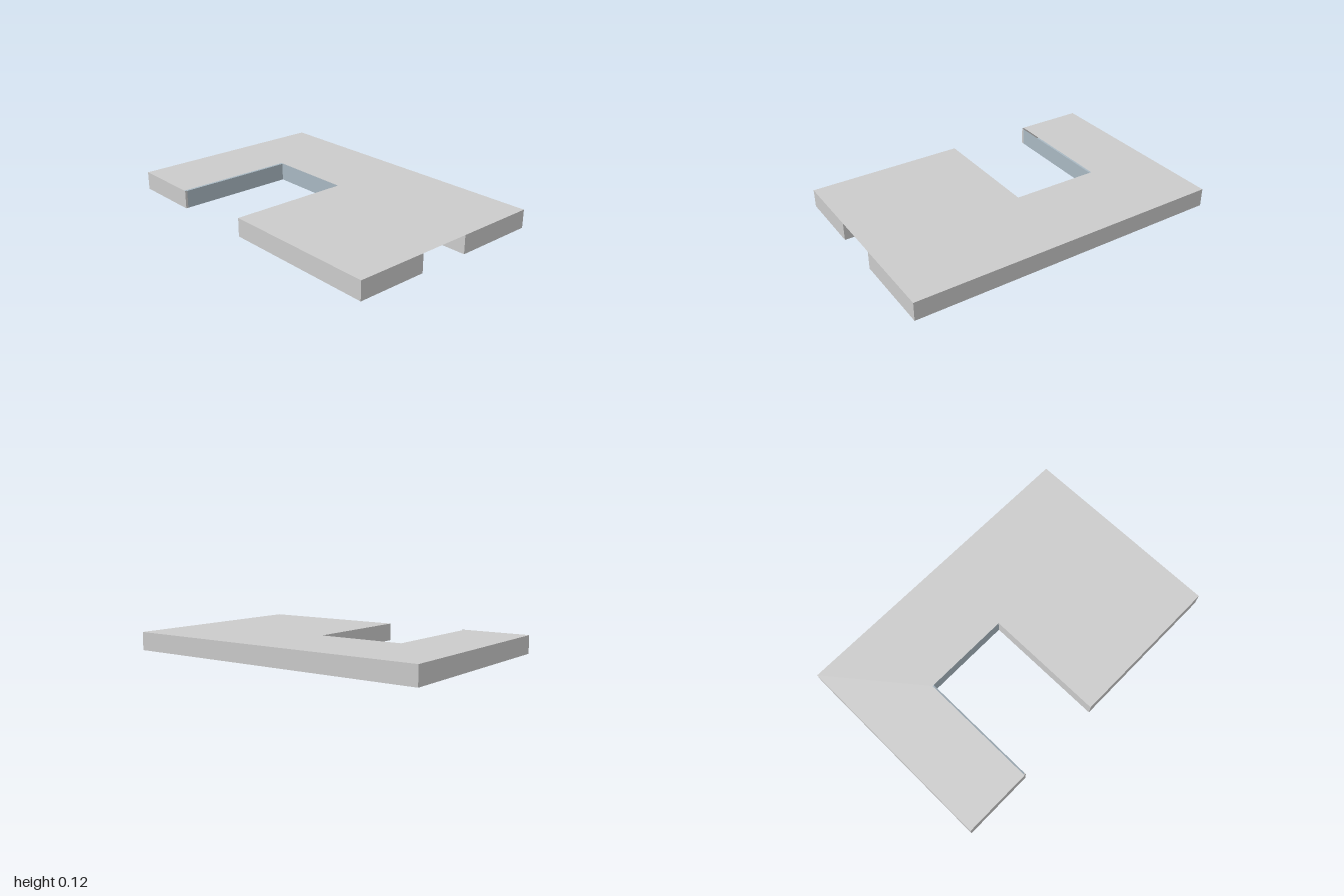
import * as THREE from 'three';

const H = 0.115;
const grey = new THREE.MeshStandardMaterial({ color: 0xcccccc, side: THREE.DoubleSide });
const blue = new THREE.MeshStandardMaterial({ color: 0xa9b8c2, side: THREE.DoubleSide });
const blueInside = new THREE.MeshStandardMaterial({ color: 0xa9b8c2, side: THREE.BackSide });

// Plan outlines as [x, z] corners
const rect = (x0, z0, x1, z1) => [[x0, z0], [x1, z0], [x1, z1], [x0, z1]];
const courtyard = (backZ) => [[-0.655, 0], [0.11, 0], [0.11, backZ], [-0.655, backZ]];
const outer = [[-0.655, -1], [0.655, -1], [0.655, 1]];
const porch = [[0.125, 1], [0.125, 0.65], [-0.21, 0.65], [-0.21, 1]];

// Recesses seen from underneath
const pits = [
  rect(0.11, 0.43, 0.33, 0.52),
  rect(-0.29, 0.79, -0.235, 0.92),
  rect(-0.53, 0.75, -0.39, 0.84),
  rect(-0.635, 0.93, -0.24, 0.985),
];
const opening = rect(-0.645, 0.01, -0.19, 0.3);

export function createModel() {
  const model = new THREE.Group();
  const add = (name, geometry, material) => {
    const mesh = new THREE.Mesh(geometry, material);
    mesh.name = name;
    model.add(mesh);
    return mesh;
  };

  const toPath = (points) => points.map(([x, z]) => new THREE.Vector2(x, -z));
  const slab = (name, points, holes, y, material) => {
    const shape = new THREE.Shape(toPath(points));
    shape.holes = holes.map((h) => new THREE.Path(toPath(h)));
    const geometry = new THREE.ShapeGeometry(shape).rotateX(-Math.PI / 2);
    add(name, geometry, material).position.y = y;
  };

  // Upright panel whose front lies to the right of a to b, seen from above
  const wall = (name, [ax, az], [bx, bz], material, height = H) => {
    const dx = bx - ax, dz = bz - az;
    const mesh = add(name, new THREE.PlaneGeometry(Math.hypot(dx, dz), height), material);
    mesh.position.set((ax + bx) / 2, height / 2, (az + bz) / 2);
    mesh.rotation.y = Math.atan2(-dz, dx);
  };

  // Roof spans the porch; the floor is cut back around it
  slab('roof', [...outer, [-0.655, 1], ...courtyard(-0.563)], [], H, grey);
  const floorPlan = [...outer, ...porch, [-0.655, 1], ...courtyard(-0.553)];
  slab('floor', floorPlan, [...pits, opening], 0, blue);

  // Outer walls, with glazing on the side and back of the courtyard
  floorPlan.forEach((a, i) => {
    const b = floorPlan[(i + 1) % floorPlan.length];
    const sideGlass = a[0] === 0.11 && b[0] === 0.11;
    const backGlass = a[1] === -0.553 && b[1] === -0.553;
    if (backGlass) {
      wall('courtyardWindow', [-0.64, a[1]], a, blue, H - 0.003);
      wall('windowJamb', [-0.655, a[1]], [-0.64, a[1]], grey);
    } else {
      wall(sideGlass ? 'courtyardSideWindow' : 'outerWall', b, a, sideGlass ? blue : grey);
    }
  });

  // Partitions around the opening in the floor
  wall('partition', [-0.19, 0], [-0.19, 0.3], grey);
  wall('partition', [-0.19, 0.3], [-0.655, 0.3], grey);

  // Shallow recesses, open from below
  for (const [[x0, z0], , [x1, z1]] of pits) {
    const pit = add('floorRecess', new THREE.BoxGeometry(x1 - x0, 0.06, z1 - z0), blueInside);
    pit.position.set((x0 + x1) / 2, 0.03, (z0 + z1) / 2);
  }
  return model;
}
